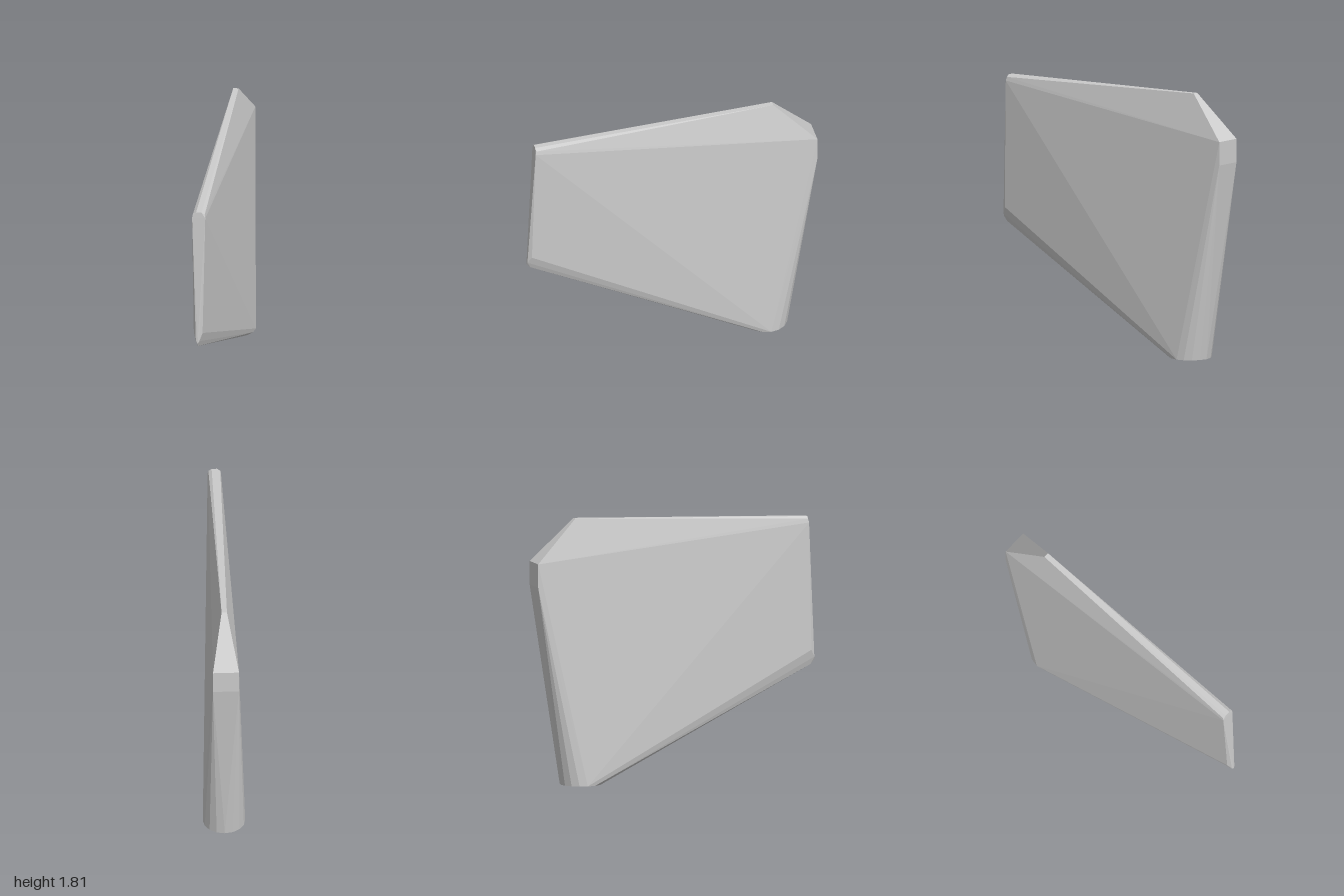
import * as THREE from 'three';
import { ConvexGeometry } from 'three/addons/geometries/ConvexGeometry.js';

export function createModel() {
  const group = new THREE.Group();
  group.name = 'taperedFin';
  const grey = new THREE.MeshStandardMaterial({ color: 0xcccccc });
  grey.name = 'light grey';

  const points = [];
  const pair = (x, y, z) => points.push(new THREE.Vector3(x, y, z), new THREE.Vector3(-x, y, z));

  // round foot
  const sides = 16, radius = 0.143;
  for (let i = 0; i < sides; i++) {
    const a = (i / sides) * Math.PI * 2;
    points.push(new THREE.Vector3(Math.cos(a) * radius, 0, -0.665 + Math.sin(a) * radius));
  }

  // thick rear end
  pair(0.088, 1.52, -1);
  pair(0.088, 1.36, -1);

  // narrow top ridge
  pair(0.018, 1.81, -0.71);
  pair(0.018, 1.75, 0.945);
  pair(0.04, 1.735, 0.942);

  // slim front edge, tapering to a point below
  pair(0.045, 1.71, 0.948);
  pair(0.03, 0.84, 0.97);
  pair(0.012, 0.79, 0.997);
  points.push(new THREE.Vector3(0, 0.77, 1), new THREE.Vector3(0, 0.74, 0.975));

  const body = new THREE.Mesh(new ConvexGeometry(points), grey);
  body.name = 'finBody';
  group.add(body);
  return group;
}
